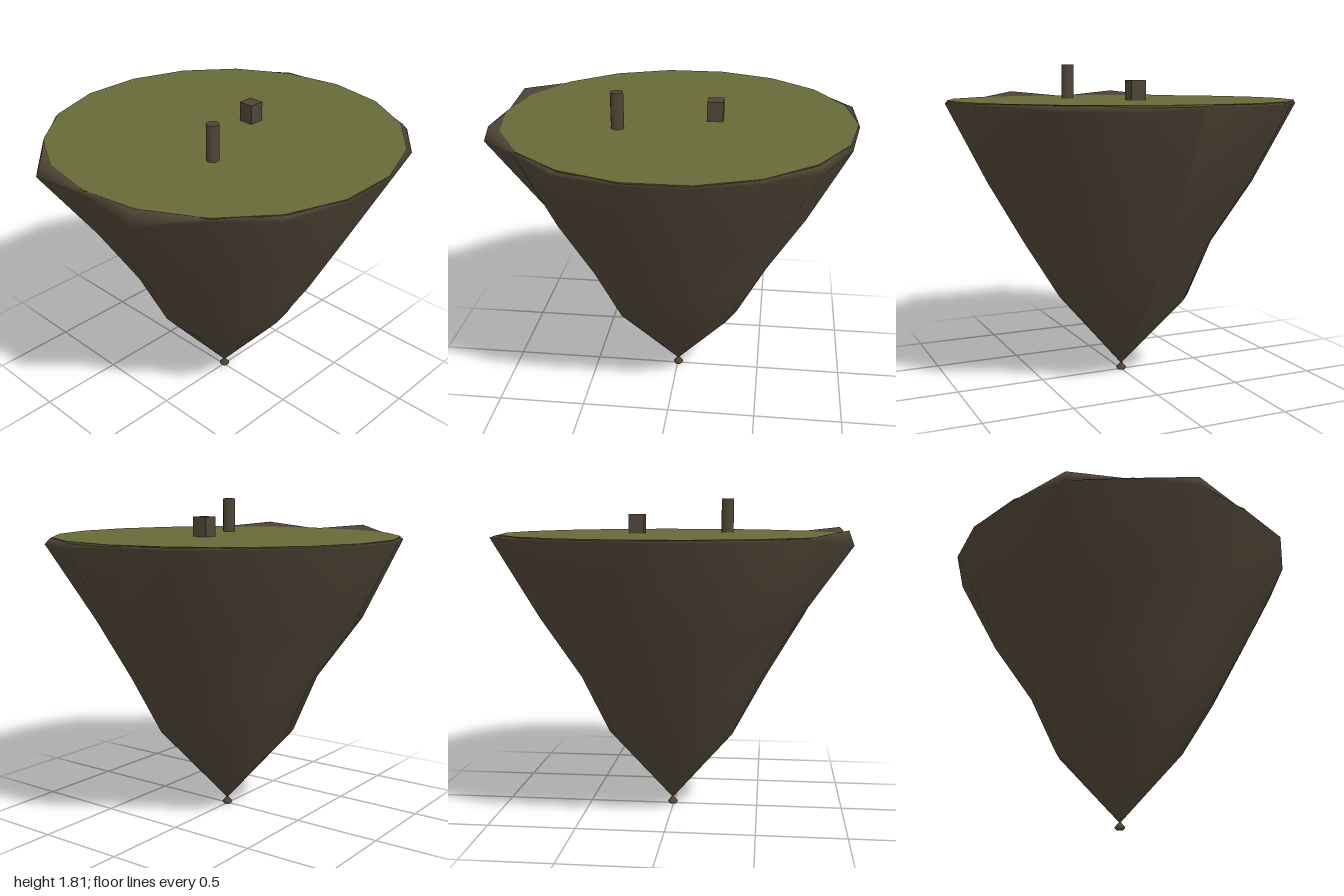
import * as THREE from 'three';

const SIDES = 18;

// Rim radius every 20 degrees, starting at +x and turning towards +z
const RIM = [0.995, 1.0, 1.03, 1.017, 1.0, 1.0, 1.03, 0.995, 1.066,
  1.0, 1.063, 0.985, 0.995, 1.0, 1.0, 0.99, 1.0, 1.037];

// Two raised bumps of the rim on the -x side
const bump = (i) => (i === 8 || i === 10 ? 1 : 0);
const dent = (i) => (i === 1 || i === 2 ? 1 : 0);

// Cross-sections of the rock, from the point up to the lip
const ROWS = [
  { y: () => 0.04, r: () => 0.004 },
  { y: () => 0.47, r: (i, t) => 0.385 - 0.015 * Math.cos(4 * t) },
  { y: () => 0.8, r: (i, t) => 0.55 + 0.025 * Math.sin(t) },
  { y: () => 1.15, r: (i, t) => 0.768 + 0.012 * Math.cos(3 * t) },
  { y: (i) => 1.6 - 0.035 * bump(i) - 0.02 * dent(i), r: (i) => RIM[i] },
  { y: (i) => 1.612 + 0.034 * bump(i), r: (i) => Math.max(0.975, RIM[i] - 0.03) },
  { y: () => 1.6, r: () => 0.95 },
];

function rockGeometry() {
  const positions = [], index = [];
  const cols = SIDES + 1;
  ROWS.forEach((row, j) => {
    for (let k = 0; k < cols; k++) {
      const i = k % SIDES;
      const t = (i / SIDES) * Math.PI * 2;
      const r = row.r(i, t);
      positions.push(0.005 + r * Math.cos(t), row.y(i), r * Math.sin(t));
      if (j < ROWS.length - 1 && k < SIDES) {
        const a = j * cols + k, b = a + cols;
        index.push(a, b, a + 1, b, b + 1, a + 1);
      }
    }
  });
  const geometry = new THREE.BufferGeometry();
  geometry.setAttribute('position', new THREE.Float32BufferAttribute(positions, 3));
  geometry.setIndex(index);
  geometry.computeVertexNormals();
  return geometry;
}

export function createModel() {
  const group = new THREE.Group();
  const rock = new THREE.MeshStandardMaterial({ color: 0x4f4536 });
  rock.name = 'rock brown';
  const grass = new THREE.MeshStandardMaterial({ color: 0x666a38 });
  grass.name = 'grass green';

  const add = (name, geometry, material, x, y, z) => {
    const mesh = new THREE.Mesh(geometry, material);
    mesh.name = name;
    mesh.position.set(x, y, z);
    group.add(mesh);
  };

  // Floating island body
  add('rockBody', rockGeometry(), rock, 0, 0, 0);

  // Small flared foot under the point
  const foot = [[0, 0], [0.022, 0], [0.03, 0.012], [0.005, 0.042]]
    .map(([r, y]) => new THREE.Vector2(r, y));
  add('rockTip', new THREE.LatheGeometry(foot, SIDES), rock, 0.005, 0, 0);

  // Grass cover; rotated so its corners line up with the rock's
  const cover = new THREE.CylinderGeometry(0.985, 0.975, 0.02, SIDES);
  cover.rotateY(Math.PI / 2);
  add('grassTop', cover, grass, 0.008, 1.606, 0.004);

  // Post and block standing on the grass
  add('post', new THREE.CylinderGeometry(0.036, 0.036, 0.21, 12), rock, -0.3, 1.71, 0.213);
  add('block', new THREE.BoxGeometry(0.088, 0.125, 0.088), rock, 0.212, 1.664, 0.006);

  return group;
}
